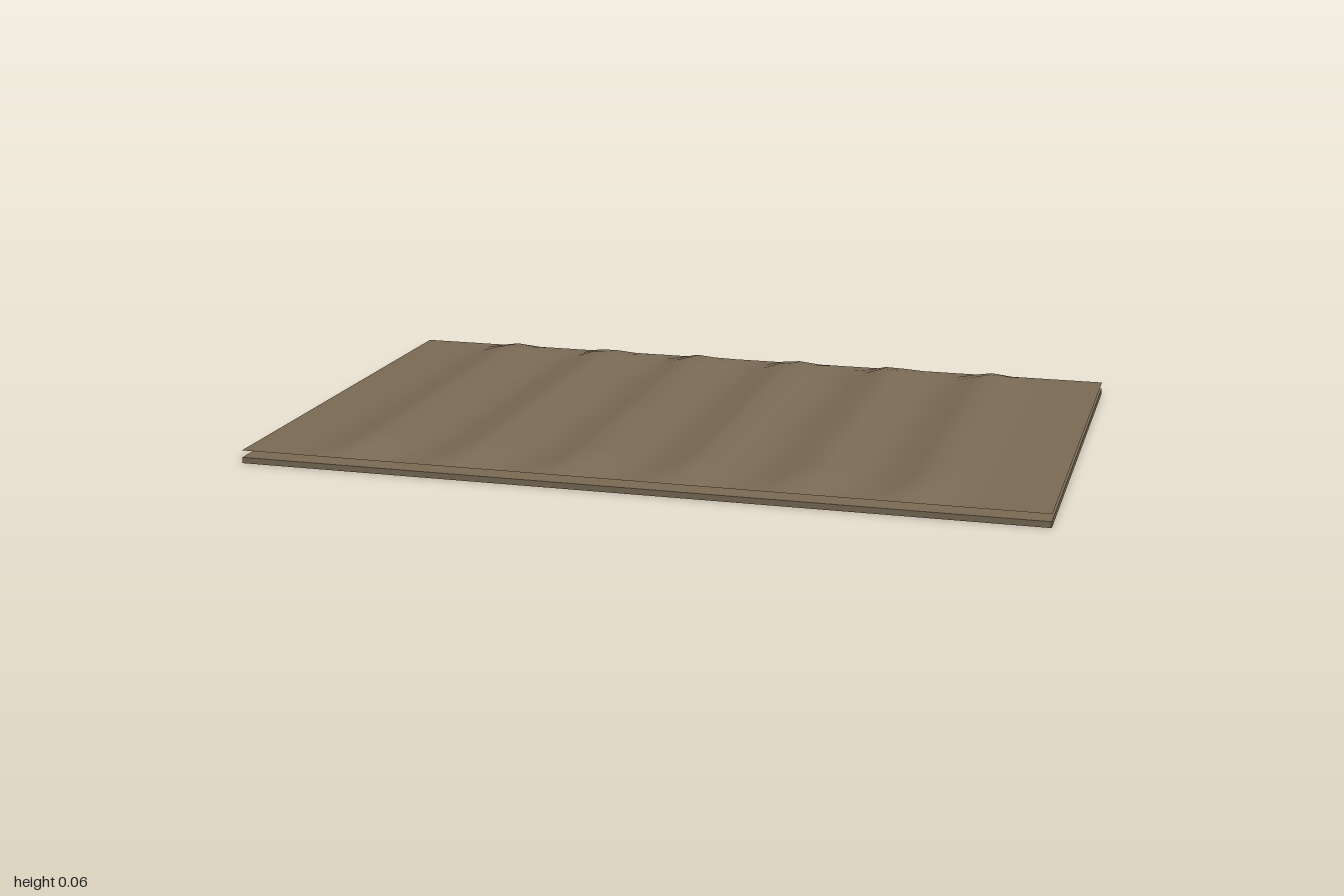
import * as THREE from 'three';

const WIDTH = 2, DEPTH = 1.25;
const RIDGES = 6, PITCH = 0.28, RIDGE_HEIGHT = 0.028;
const SHEET_Y = 0.033, SLAB_HEIGHT = 0.015, END_TAPER = 0.105;

// Height of the ridged sheet: six soft ridges that fade out at both ends
function ridgeHeight(x, z) {
  const half = RIDGES * PITCH / 2;
  if (Math.abs(x) >= half) return 0;
  const wave = Math.abs(Math.sin(Math.PI * (x + half) / PITCH)) ** 3;
  const fade = Math.min(1, (DEPTH / 2 - Math.abs(z)) / END_TAPER);
  return RIDGE_HEIGHT * wave * Math.sin(fade * Math.PI / 2);
}

export function createModel() {
  const group = new THREE.Group();
  group.name = 'ridgedPanel';
  const material = new THREE.MeshStandardMaterial({ color: 0x7a6a55, side: THREE.DoubleSide });

  // Flat base slab
  const slab = new THREE.Mesh(new THREE.BoxGeometry(WIDTH, SLAB_HEIGHT, DEPTH), material);
  slab.name = 'baseSlab';
  slab.position.y = SLAB_HEIGHT / 2;
  group.add(slab);

  // Thin ridged sheet hovering just over the slab
  const geometry = new THREE.PlaneGeometry(WIDTH, DEPTH, 40, 24).rotateX(-Math.PI / 2);
  const p = geometry.attributes.position;
  for (let i = 0; i < p.count; i++) p.setY(i, SHEET_Y + ridgeHeight(p.getX(i), p.getZ(i)));
  geometry.computeVertexNormals();
  const sheet = new THREE.Mesh(geometry, material);
  sheet.name = 'ridgedSheet';
  group.add(sheet);

  return group;
}
